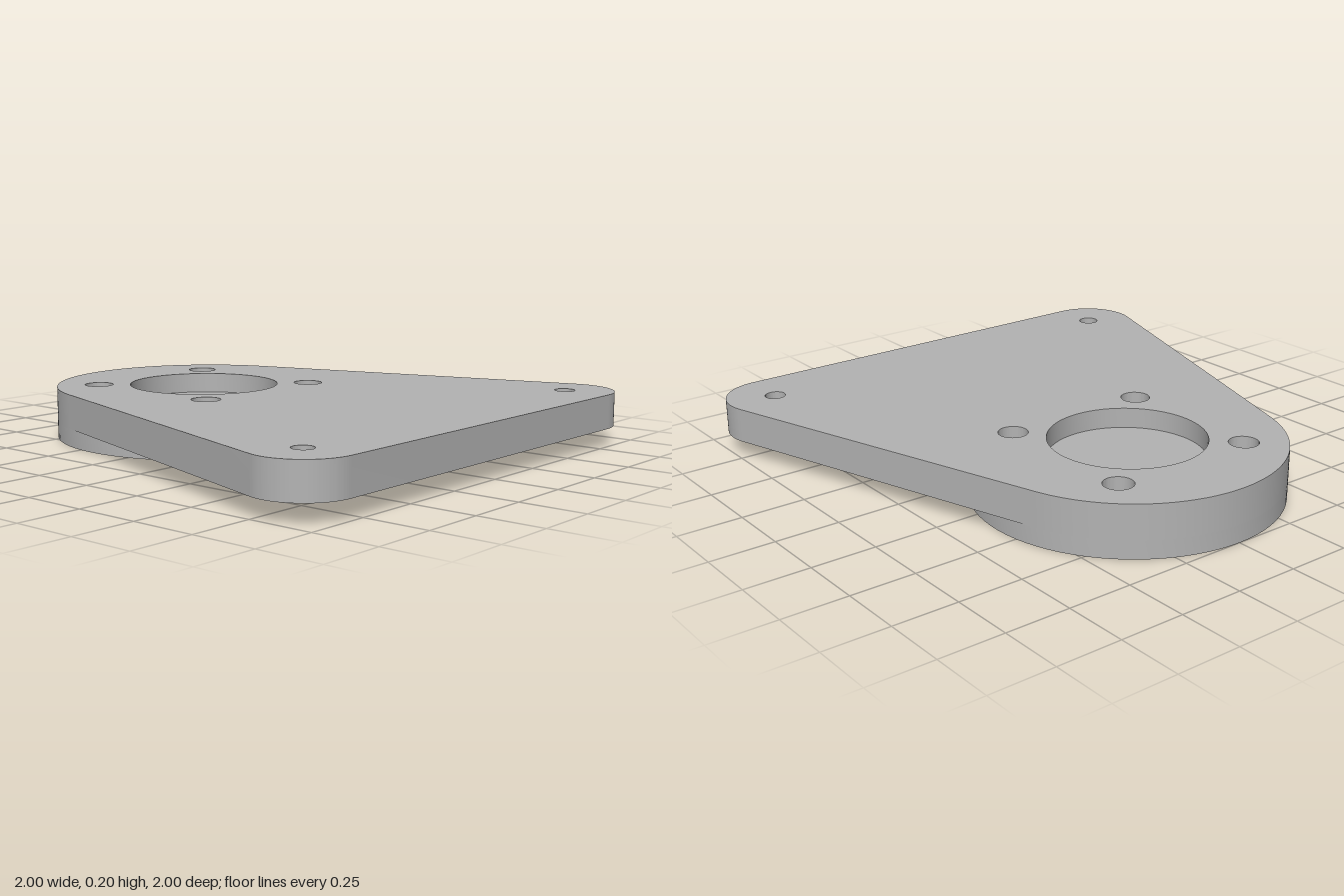
import * as THREE from 'three';
import { toCreasedNormals } from 'three/addons/utils/BufferGeometryUtils.js';

const BACK_Z = -0.405, BACK_R = 0.595;     // big rounded end
const FOOT_X = 0.808, FOOT_Z = 0.805, FOOT_R = 0.193; // small rounded corners
const PLATE_BOTTOM = 0.07, PLATE_TOP = 0.205, POCKET_FLOOR = 0.125;

function addHole(shape, x, z, r) {
  const hole = new THREE.Path();
  hole.absarc(x, -z, r, 0, Math.PI * 2, true);
  shape.holes.push(hole);
}

// Extrudes a plan shape (shape y = -z) upward between two heights
function slab(name, shape, y0, y1, material) {
  const geo = new THREE.ExtrudeGeometry(shape, { depth: y1 - y0, bevelEnabled: false, curveSegments: 40 });
  geo.rotateX(-Math.PI / 2);
  geo.translate(0, y0, 0);
  const mesh = new THREE.Mesh(toCreasedNormals(geo, 0.5), material);
  mesh.name = name;
  return mesh;
}

export function createModel() {
  const group = new THREE.Group();
  group.name = 'mountingPlate';
  const metal = new THREE.MeshStandardMaterial({ color: 0xb3b3b3 });
  metal.name = 'grey metal';

  // Outline: three arcs joined by their common tangents
  const dx = FOOT_X, dz = FOOT_Z - BACK_Z;
  const a = Math.acos((BACK_R - FOOT_R) / Math.hypot(dx, dz)) - Math.atan2(dz, dx);
  const outline = new THREE.Shape();
  outline.absarc(0, -BACK_Z, BACK_R, a, Math.PI - a, false);
  outline.absarc(-FOOT_X, -FOOT_Z, FOOT_R, Math.PI - a, Math.PI * 1.5, false);
  outline.absarc(FOOT_X, -FOOT_Z, FOOT_R, Math.PI * 1.5, Math.PI * 2 + a, false);

  // Pocket, four bolt holes around it, one hole in each front corner
  addHole(outline, 0, BACK_Z, 0.3);
  for (const s of [-1, 1]) {
    for (const t of [-1, 1]) addHole(outline, s * 0.302, BACK_Z + t * 0.302, 0.057);
    addHole(outline, s * FOOT_X, FOOT_Z, 0.04);
  }
  group.add(slab('plate', outline, PLATE_BOTTOM, PLATE_TOP, metal));

  // Solid floor closing the pocket
  const floor = new THREE.Shape();
  floor.absarc(0, -BACK_Z, 0.3, 0, Math.PI * 2, false);
  group.add(slab('pocketFloor', floor, PLATE_BOTTOM, POCKET_FLOOR, metal));

  // Rim under the rounded end
  const rim = new THREE.Shape();
  rim.absarc(0, -BACK_Z, BACK_R, 0, Math.PI * 2, false);
  addHole(rim, 0, BACK_Z, 0.54);
  group.add(slab('lowerRim', rim, 0, PLATE_BOTTOM, metal));

  return group;
}
